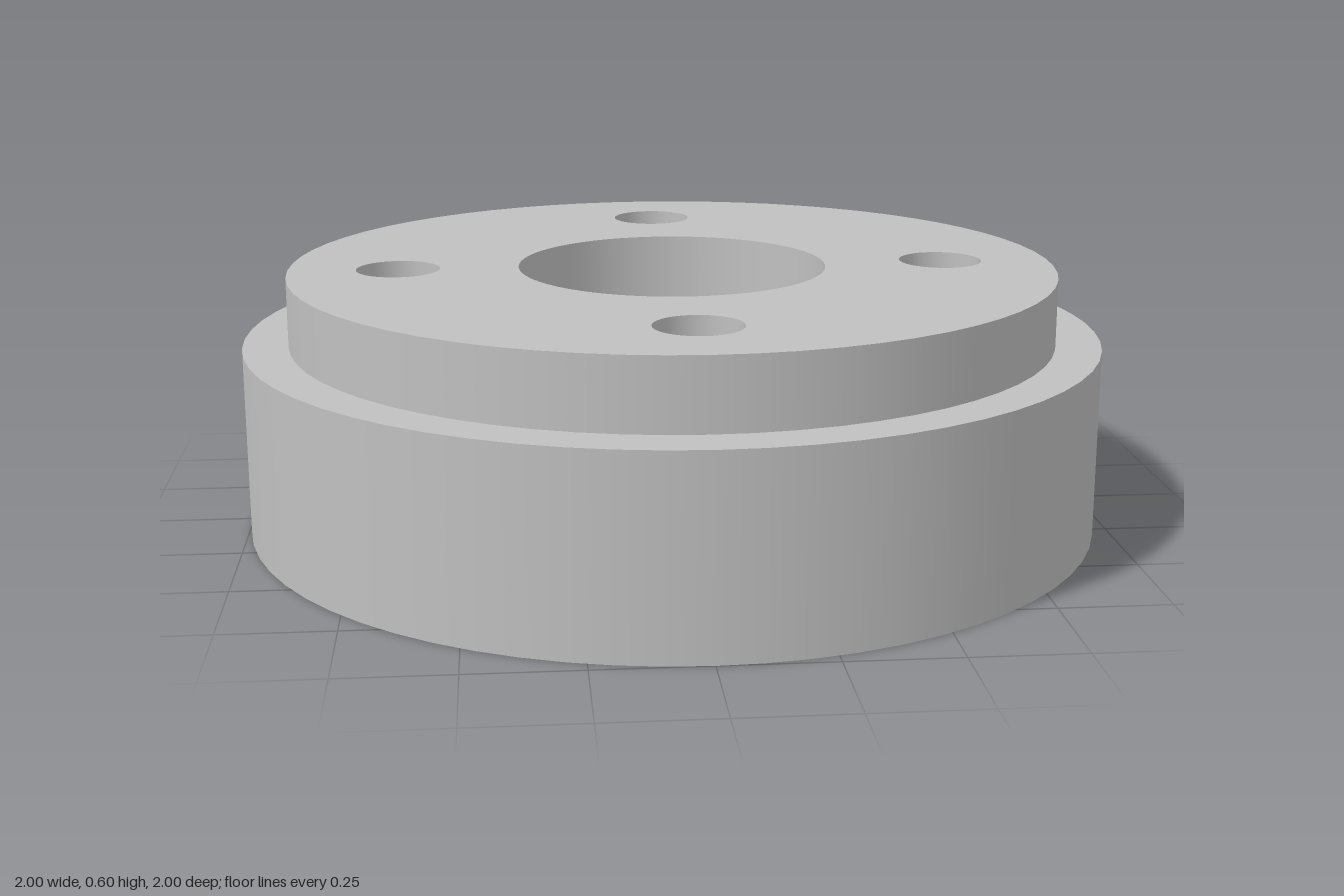
import * as THREE from 'three';

const SEG = 64;
const R_BASE = 1, R_STEP = 0.895, R_BORE = 0.36;
const Y_STEP = 0.44, Y_TOP = 0.6;
const R_BOLT = 0.097, R_COUNTERBORE = 0.175, R_PITCH = 0.64;

export function createModel() {
  const group = new THREE.Group();
  const metal = new THREE.MeshStandardMaterial({ color: 0xc0c0c0 });
  metal.name = 'grey metal';

  const add = (name, geometry, x = 0, y = 0, z = 0) => {
    const mesh = new THREE.Mesh(geometry, metal);
    mesh.name = name;
    mesh.position.set(x, y, z);
    group.add(mesh);
    return mesh;
  };

  // One turned face from (r0, y0) to (r1, y1); going up faces outward, going inward faces up
  const turned = (name, r0, y0, r1, y1, x = 0, z = 0) =>
    add(name, new THREE.LatheGeometry(
      [new THREE.Vector2(r0, y0), new THREE.Vector2(r1, y1)], SEG), x, 0, z);

  const bolts = [0, 1, 2, 3].map(i => {
    const a = i * Math.PI / 2;
    return [R_PITCH * Math.cos(a), R_PITCH * Math.sin(a)];
  });

  // Flat disc pierced by the bore and four bolt holes
  const plate = (name, radius, holeRadius, y, facing) => {
    const shape = new THREE.Shape().absarc(0, 0, radius, 0, Math.PI * 2, false);
    const pierce = (x, z, r) => shape.holes.push(
      new THREE.Path().absarc(x, z, r, 0, Math.PI * 2, true));
    pierce(0, 0, R_BORE);
    bolts.forEach(([x, z]) => pierce(x, z, holeRadius));
    const mesh = add(name, new THREE.ShapeGeometry(shape, SEG / 2), 0, y, 0);
    mesh.rotation.x = -facing * Math.PI / 2;
  };

  // Body: wide base, ledge, narrower raised step and central bore
  turned('baseRim', R_BASE, 0, R_BASE, Y_STEP);
  turned('ledge', R_BASE, Y_STEP, R_STEP, Y_STEP);
  turned('stepRim', R_STEP, Y_STEP, R_STEP, Y_TOP);
  turned('centralBore', R_BORE, Y_TOP, R_BORE, 0);
  plate('topFace', R_STEP, R_BOLT, Y_TOP, 1);
  plate('bottomFace', R_BASE, R_COUNTERBORE, 0, -1);

  // Bolt holes, counterbored from below
  for (const [x, z] of bolts) {
    turned('boltHole', R_BOLT, Y_TOP, R_BOLT, Y_STEP, x, z);
    turned('counterboreSeat', R_BOLT, Y_STEP, R_COUNTERBORE, Y_STEP, x, z);
    turned('counterbore', R_COUNTERBORE, Y_STEP, R_COUNTERBORE, 0, x, z);
  }
  return group;
}
